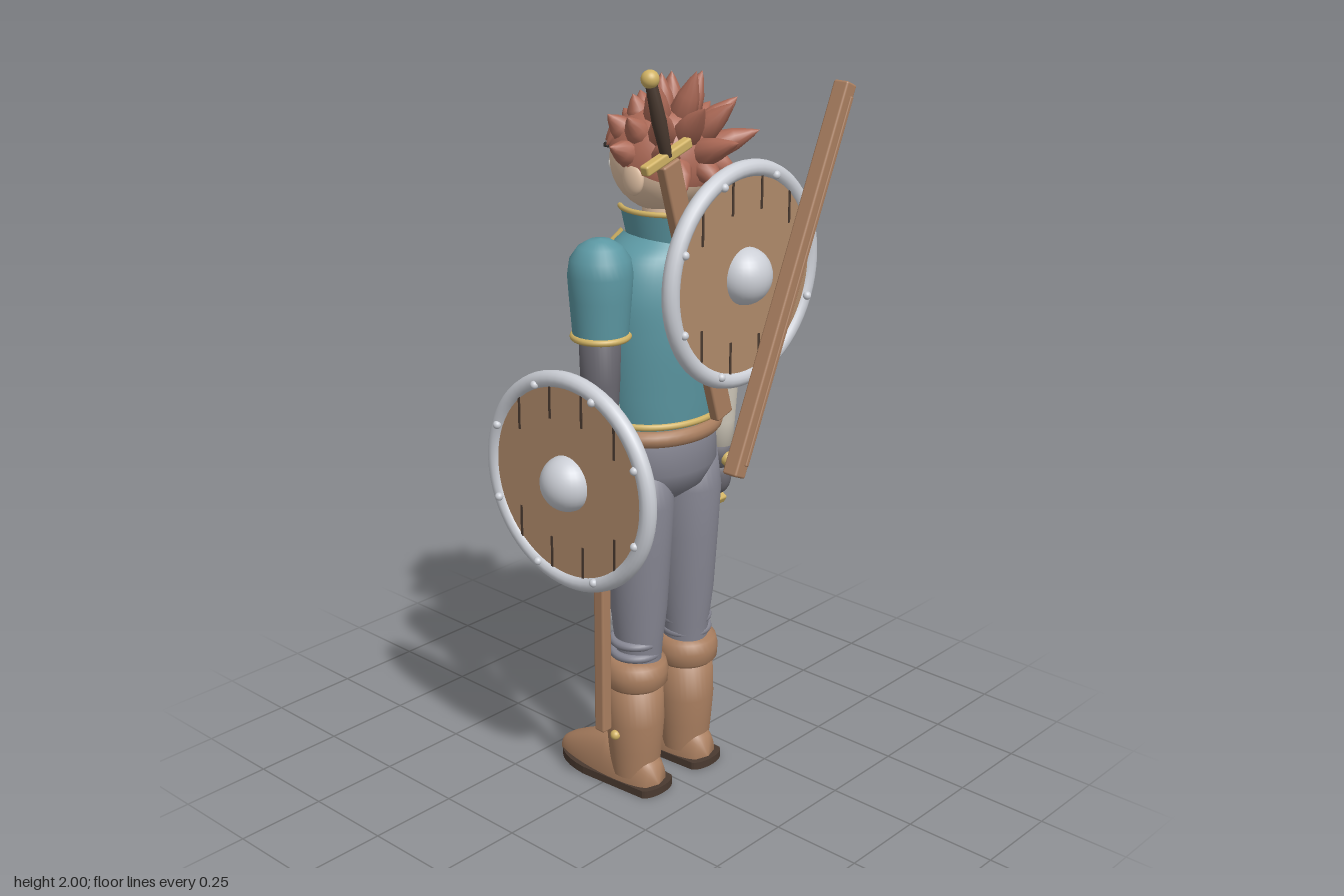
import * as THREE from 'three';
import { ParametricGeometry } from 'three/addons/geometries/ParametricGeometry.js';
import { RoundedBoxGeometry } from 'three/addons/geometries/RoundedBoxGeometry.js';

const mat = (color, extra = {}) => new THREE.MeshStandardMaterial({ color, ...extra });
const M = {
  teal: mat(0x5c98a3, { side: THREE.DoubleSide }), gold: mat(0xd0b264), leather: mat(0xaa7f60),
  wood: mat(0xb08a6a), dark: mat(0x4a3a30), shirt: mat(0x6a6870), trouser: mat(0x868692),
  skin: mat(0xe3c3a6), cuff: mat(0xcfc8ba), metal: mat(0xcccfd6), hair: mat(0xad6a57), black: mat(0x33302e),
  white: mat(0xf2eee8), blade: mat(0xc4c6cc, { flatShading: true }), strap: mat(0x8a6446, { side: THREE.DoubleSide }),
};
const V = (x, y, z = 0) => new THREE.Vector3(x, y, z);

function add(parent, name, geo, material, x = 0, y = 0, z = 0) {
  const m = new THREE.Mesh(geo, material);
  m.name = name;
  m.position.set(x, y, z);
  parent.add(m);
  return m;
}
function group(parent, name, x = 0, y = 0, z = 0) {
  const g = new THREE.Group();
  g.name = name;
  g.position.set(x, y, z);
  parent.add(g);
  return g;
}
const ball = (r) => new THREE.SphereGeometry(r, 28, 18);
const box = (w, h, d, r = 0.006) => new RoundedBoxGeometry(w, h, d, 3, r);
const lathe = (pts, n = 32) => new THREE.LatheGeometry(pts.map(([r, y]) => new THREE.Vector2(r, y)), n);
const tube = (pts, r, closed = false) =>
  new THREE.TubeGeometry(new THREE.CatmullRomCurve3(pts, closed), 64, r, 8, closed);
const hoop = (R, r) => new THREE.TorusGeometry(R, r, 12, 40).rotateX(Math.PI / 2);

// Torso outline: half-width, height, half-depth
const torsoCurve = new THREE.CatmullRomCurve3([
  V(0.158, 1.06, 0.122), V(0.168, 1.14, 0.13), V(0.18, 1.3, 0.143), V(0.178, 1.42, 0.138), V(0.15, 1.5, 0.118), V(0.085, 1.55, 0.09)]);
function onTorso(a, v, out = 0) {
  const p = torsoCurve.getPoint(THREE.MathUtils.clamp(v, 0, 1));
  return V(Math.sin(a) * (p.x + out), p.y, Math.cos(a) * (p.z + out));
}
const gap = (v) => 0.28 + 0.42 * v; // half angle of the open vest

// Round shield facing +z
function shield(parent, name, R, pos) {
  const g = group(parent, name, ...pos);
  add(g, 'shieldBoards', new THREE.CylinderGeometry(R - 0.02, R - 0.02, 0.022, 56).rotateX(Math.PI / 2), M.wood);
  add(g, 'shieldRim', new THREE.TorusGeometry(R - 0.022, 0.022, 14, 64), M.metal);
  add(g, 'shieldBoss', ball(0.073), M.metal, 0, 0, 0.008).scale.z = 0.92;
  [-0.165, -0.055, 0.055, 0.165].forEach((x, i) => [-1, 1].forEach((s) =>
    add(g, 'boardGroove', new THREE.BoxGeometry(0.007, 0.09, 0.004), M.dark, x, s * (i % 3 ? 0.205 : 0.15), 0.011)));
  for (let i = 0; i < 8; i++) {
    const a = (i + 0.5) * Math.PI / 4;
    add(g, 'rivet', ball(0.011), M.metal, Math.cos(a) * (R - 0.03), Math.sin(a) * (R - 0.03), 0.02);
  }
  [-0.085, 0.085].forEach((x) => add(g, 'shieldGrip', box(0.05, 0.23, 0.026), M.leather, x, 0, -0.03));
  return g;
}

// Sword with its guard at the origin and its tip towards +y
function sword(parent, name, pos, withBlade, guardX = 0) {
  const g = group(parent, name, ...pos);
  add(g, 'guard', box(0.165, 0.026, 0.026), M.gold, guardX);
  add(g, 'grip', lathe([[0, -0.19], [0.014, -0.19], [0.018, -0.09], [0.014, 0], [0, 0]], 16), M.dark);
  add(g, 'pommel', ball(0.022), M.gold, 0, -0.197, 0);
  if (withBlade) {
    const width = (v) => (v < 0.65 ? 0.024 + 0.01 * v : 0.0305 * Math.sqrt(Math.max(0, (1 - v) / 0.35)));
    add(g, 'blade', new ParametricGeometry((u, v, t) => {
      const a = u * Math.PI * 2, w = width(v);
      t.set(Math.sin(a) * w, v * 0.73, Math.cos(a) * w * 0.2);
    }, 4, 24), M.blade);
  } else add(g, 'scabbard', box(0.06, 0.72, 0.03), M.leather, 0, 0.375, 0);
  return g;
}

function buildTorso(body) {
  add(body, 'shirt', new ParametricGeometry((u, v, t) => t.copy(onTorso(u * Math.PI * 2, v)), 48, 24), M.shirt);
  add(body, 'vest', new ParametricGeometry((u, v, t) => {
    const g = gap(v);
    t.copy(onTorso(-Math.PI + g + u * 2 * (Math.PI - g), v, 0.01));
  }, 48, 24), M.teal);
  const steps = [0, 0.2, 0.4, 0.6, 0.8, 1];
  [-1, 1].forEach((s) => add(body, 'vestEdge', tube(steps.map((v) => onTorso(Math.PI + s * gap(v), v, 0.012)), 0.008), M.gold));
  const hem = [...Array(20)].map((_, i) => onTorso(-Math.PI + gap(0) + (i / 19) * 2 * (Math.PI - gap(0)), 0.03, 0.012));
  add(body, 'vestHem', tube(hem, 0.009), M.gold);
  // Standing collar, open at the throat
  const collar = (u, v) => {
    const a = -2.35 + u * 4.7, r = 0.09 + 0.02 * v;
    return V(Math.sin(a) * r, 1.52 + 0.095 * v, Math.cos(a) * (r + 0.01) + 0.01);
  };
  add(body, 'collar', new ParametricGeometry((u, v, t) => t.copy(collar(u, v)), 32, 4), M.teal);
  add(body, 'collarTrim', tube([...Array(16)].map((_, i) => collar(i / 15, 1)), 0.007), M.gold);
  add(body, 'neck', new THREE.CylinderGeometry(0.058, 0.066, 0.14, 24), M.skin, 0, 1.57, 0.01);
  // Belt and chest strap
  const belt = add(body, 'belt', hoop(0.16, 0.022), M.leather, 0, 1.035, 0);
  belt.scale.set(1, 1, 0.79);
  add(body, 'buckle', box(0.055, 0.05, 0.02), M.gold, 0, 1.035, -0.145);
  add(body, 'chestStrap', new ParametricGeometry((u, v, t) => {
    const a = u * Math.PI * 2, side = Math.sin(a);
    t.copy(onTorso(a, 0.5 - 0.46 * side + (v - 0.5) * 0.07, 0.022));
    t.y = 1.29 - 0.22 * side + (v - 0.5) * 0.04;
  }, 56, 2), M.strap);
  add(body, 'pelvis', lathe([[0, 0.82], [0.06, 0.83], [0.13, 0.87], [0.168, 0.93], [0.165, 1.0], [0.155, 1.06], [0, 1.06]]), M.trouser).scale.z = 0.76;
  add(body, 'pouch', box(0.08, 0.1, 0.09, 0.014), M.leather, 0.205, 0.965, -0.075);
  add(body, 'pouchFlap', box(0.088, 0.04, 0.1, 0.012), M.leather, 0.205, 1.01, -0.075);
}

function buildLeg(body, s) {
  const leg = group(body, s > 0 ? 'leftLeg' : 'rightLeg', s * 0.103, 0, 0);
  add(leg, 'trouserLeg', lathe([[0.058, 0.36], [0.062, 0.43], [0.074, 0.54], [0.083, 0.7], [0.09, 0.84], [0.078, 0.94], [0, 0.98]]), M.trouser, -s * 0.008, 0, 0.005).scale.z = 1.08;
  [0.44, 0.405].forEach((y) => add(leg, 'ankleWrap', hoop(0.06, 0.012), M.trouser, 0, y, 0));
  add(leg, 'kneePad', ball(0.05), M.metal, 0, 0.51, -0.05).scale.set(0.9, 1.2, 0.7);
  add(leg, 'bootShaft', lathe([[0.066, 0.04], [0.074, 0.12], [0.08, 0.2], [0.076, 0.32], [0, 0.33]]), M.leather);
  add(leg, 'bootCuff', lathe([[0, 0.3], [0.072, 0.302], [0.088, 0.318], [0.09, 0.35], [0.084, 0.378], [0.066, 0.39], [0, 0.39]]), M.leather);
  add(leg, 'bootStud', ball(0.014), M.gold, s * 0.08, 0.175, 0);
  // Foot swept from heel to rounded toe
  add(leg, 'bootFoot', new ParametricGeometry((u, v, t) => {
    const a = u * Math.PI * 2, k = Math.sin(Math.PI * Math.min(1, Math.max(0, v)));
    const end = Math.pow(k, 0.28);
    const w = (0.074 - 0.018 * v) * end, h = (v < 0.45 ? 0.115 : 0.115 - 0.11 * (v - 0.45)) * end;
    const c = Math.cos(a), q = Math.sin(a);
    t.set(Math.sign(c) * Math.pow(Math.abs(c), 0.7) * w, 0.018 + Math.max(0, q) * h, 0.09 - v * 0.362);
  }, 32, 28), mat(0xaa7f60, { side: THREE.DoubleSide }));
  const sole = new THREE.Shape();
  sole.moveTo(-0.06, -0.08);
  sole.bezierCurveTo(-0.045, -0.11, 0.045, -0.11, 0.06, -0.08);
  sole.lineTo(0.076, 0.13);
  sole.bezierCurveTo(0.066, 0.31, -0.066, 0.31, -0.076, 0.13);
  sole.closePath();
  add(leg, 'bootSole', new THREE.ExtrudeGeometry(sole, { depth: 0.022, bevelEnabled: false, curveSegments: 16 }).rotateX(-Math.PI / 2), M.dark);
}

function buildArm(body, s) {
  const arm = group(body, s > 0 ? 'leftArm' : 'rightArm', s * 0.228, 0, 0);
  add(arm, 'sleeve', lathe([[0.07, 1.32], [0.078, 1.42], [0.082, 1.48], [0.076, 1.52], [0.055, 1.55], [0.028, 1.566], [0, 1.57]]), M.teal);
  add(arm, 'sleeveTrim', hoop(0.069, 0.009), M.gold, 0, 1.322, 0);
  add(arm, 'upperArm', lathe([[0.045, 1.1], [0.05, 1.2], [0.054, 1.34], [0, 1.36]]), M.shirt, s * 0.003, 0, 0);
  add(arm, 'bracer', lathe([[0, 0.9], [0.038, 0.9], [0.043, 0.98], [0.052, 1.12], [0.05, 1.14], [0, 1.145]]), M.cuff, s * 0.006, 0, 0);
  add(arm, 'gloveCuff', lathe([[0, 0.84], [0.036, 0.845], [0.044, 0.885], [0.04, 0.91], [0, 0.912]]), M.shirt, s * 0.004, 0, 0);
  add(arm, 'palm', ball(0.044), M.shirt, 0, 0.82, 0).scale.set(0.85, 1.3, 0.95);
  for (let i = 0; i < 4; i++) {
    add(arm, 'finger', new THREE.CapsuleGeometry(0.0105, 0.035, 4, 10), M.shirt, (i - 1.5) * 0.018, 0.775, -0.03).rotation.x = 0.6;
    add(arm, 'fingertip', ball(0.011), M.skin, (i - 1.5) * 0.018, 0.757, -0.046);
  }
}

function buildHead(body) {
  const head = group(body, 'head', 0, 1.735, 0);
  add(head, 'skull', ball(0.134), M.skin);
  add(head, 'nose', ball(0.016), M.skin, 0, -0.03, -0.135);
  add(head, 'mouth', box(0.05, 0.007, 0.01, 0.003), M.black, 0, -0.076, -0.109);
  [-1, 1].forEach((s) => {
    add(head, 'ear', ball(0.036), M.skin, s * 0.13, -0.03, 0.02).scale.set(0.45, 1.2, 0.9);
    add(head, 'eye', ball(0.025), M.white, s * 0.05, -0.02, -0.112).scale.z = 0.6;
    add(head, 'iris', ball(0.014), M.black, s * 0.048, -0.021, -0.122).scale.z = 0.6;
    add(head, 'brow', box(0.055, 0.013, 0.015, 0.004), M.black, s * 0.052, 0.02, -0.124).rotation.z = s * 0.25;
  });
  const cap = add(head, 'hairCap', new THREE.SphereGeometry(0.143, 32, 16, 0, Math.PI * 2, 0, 1.55), M.hair);
  cap.rotation.x = 0.4;
  // Leaf-shaped locks, azimuth 0 pointing backwards
  const dir = (az, el, r) => V(Math.sin(az) * Math.cos(el) * r, Math.sin(el) * r, Math.cos(az) * Math.cos(el) * r);
  const lock = (az, e0, r0, e1, r1, w) => {
    const from = dir(az, e0, r0), to = dir(az, e1, r1), len = from.distanceTo(to);
    const m = add(head, 'hairLock', lathe([[w * 0.6, 0], [w, len * 0.3], [w * 0.75, len * 0.6], [w * 0.3, len * 0.87], [0, len]], 10), M.hair, ...from.toArray());
    m.quaternion.setFromUnitVectors(V(0, 1), to.sub(from).normalize());
  };
  [[0.15, 8, 0.2], [0.55, 11, 0.19], [1.0, 6, 0.195], [1.35, 3, 0.215]].forEach(([el, n, R], row) => {
    for (let i = 0; i < n; i++) {
      const az = ((i + (row % 2) * 0.5) / n) * Math.PI * 2, back = Math.cos(az);
      if (row === 0 && back < -0.2) continue;
      lock(az, el, 0.09, el + 0.12, R + 0.055 * Math.max(0, back) * (row < 3 ? 1 : 0) + 0.012 * (i % 2) + 0.03 * Math.min(0, back), 0.036);
    }
  });
  [-0.55, 0, 0.55].forEach((az) => lock(az, 0.1, 0.11, -0.25, 0.2, 0.034));
  [-1, -0.6, -0.2, 0.2, 0.6, 1].forEach((a) => lock(Math.PI + a, 0.75, 0.125, 0.25, 0.15, 0.025));
}

export function createModel() {
  const root = new THREE.Group();
  root.name = 'shieldBearer';
  const body = group(root, 'body', 0.022, 0, 0.057);
  buildTorso(body);
  buildHead(body);
  [-1, 1].forEach((s) => { buildLeg(body, s); buildArm(body, s); });

  // Carried gear
  shield(root, 'backShield', 0.288, [0.05, 1.47, 0.298]);
  shield(root, 'armShield', 0.29, [-0.323, 0.963, 0.057]).rotation.y = -Math.PI / 2;
  sword(root, 'backSword', [-0.165, 1.79, 0.237], false).rotation.z = Math.PI + 0.298;
  sword(root, 'handSword', [0.25, 0.705, -0.005], true, 0.02).rotation.x = Math.PI + 0.527;
  const stave = group(root, 'backStave', 0.178, 1.44, 0.345);
  stave.rotation.z = -0.412;
  add(stave, 'staveBody', box(0.042, 1.025, 0.045), M.leather);
  add(stave, 'staveSlat', box(0.012, 0.96, 0.008, 0.003), M.leather, 0.008, 0, 0.024);
  add(root, 'hipScabbard', box(0.034, 0.64, 0.034), M.leather, -0.206, 0.53, 0.055);
  return root;
}
